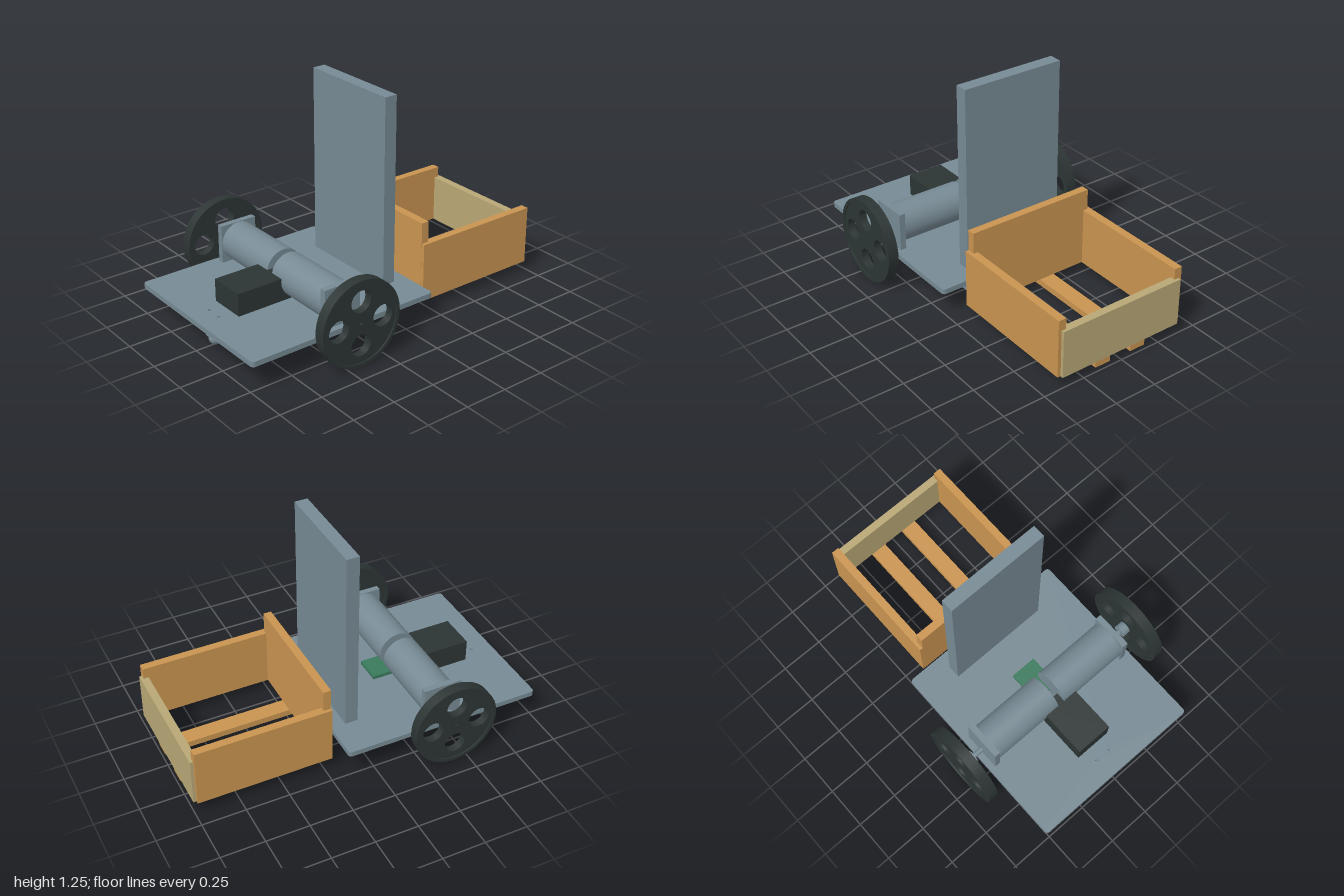
import * as THREE from 'three';

const mat = (name, color, flatShading = false) => {
  const m = new THREE.MeshStandardMaterial({ color, flatShading });
  m.name = name;
  return m;
};

export function createModel() {
  const root = new THREE.Group();
  root.name = 'wheeledPlatformAndCrate';
  const steel = mat('blueGreySteel', 0x778a94);
  const dark = mat('darkRubber', 0x2c3534);
  const green = mat('circuitGreen', 0x3a7a5c);
  const wood = mat('orangeWood', 0xc99450);
  const tan = mat('paleWood', 0xb9a776);

  const add = (name, geo, m) => {
    const mesh = new THREE.Mesh(geo, m);
    mesh.name = name;
    root.add(mesh);
    return mesh;
  };
  // Box given by its limits on each axis
  const box = (name, m, x0, x1, y0, y1, z0, z1) => {
    const b = add(name, new THREE.BoxGeometry(x1 - x0, y1 - y0, z1 - z0), m);
    b.position.set((x0 + x1) / 2, (y0 + y1) / 2, (z0 + z1) / 2);
    return b;
  };
  // Cylinder lying along z between two limits
  const rodZ = (name, m, x, y, r, z0, z1) => {
    const c = add(name, new THREE.CylinderGeometry(r, r, Math.abs(z1 - z0), 40).rotateX(Math.PI / 2), m);
    c.position.set(x, y, (z0 + z1) / 2);
    return c;
  };
  const hole = (shape, x, y, r) => {
    const p = new THREE.Path();
    p.absarc(x, y, r, 0, Math.PI * 2, true);
    shape.holes.push(p);
  };

  // Base plate with rounded corners and two bolt holes
  const [w, d, r] = [0.58, 0.525, 0.02];
  const plate = new THREE.Shape();
  plate.absarc(w - r, d - r, r, 0, Math.PI / 2);
  plate.absarc(-w + r, d - r, r, Math.PI / 2, Math.PI);
  plate.absarc(-w + r, -d + r, r, Math.PI, Math.PI * 1.5);
  plate.absarc(w - r, -d + r, r, Math.PI * 1.5, Math.PI * 2);
  for (const s of [-1, 1]) hole(plate, -0.46, s * 0.045, 0.009);
  const plateGeo = new THREE.ExtrudeGeometry(plate, { depth: 0.03, bevelEnabled: false, curveSegments: 10 });
  add('basePlate', plateGeo.rotateX(-Math.PI / 2), steel).position.set(-0.42, 0.15, 0);

  // Upright panel, battery and circuit board
  box('uprightPanel', steel, 0, 0.075, 0.035, 1.255, -0.305, 0.305);
  box('battery', dark, -0.8, -0.47, 0.18, 0.31, -0.11, 0.108);
  box('circuitBoard', green, -0.41, -0.215, 0.22, 0.24, -0.08, 0.075);

  // Ball casters
  for (const x of [-0.88, 0.035]) {
    box('casterMount', steel, x - 0.075, x + 0.075, 0.11, 0.15, -0.065, 0.065);
    box('casterSpacer', dark, x - 0.063, x + 0.063, 0.088, 0.11, -0.055, 0.055);
    const cup = add('casterCup', new THREE.CylinderGeometry(0.052, 0.052, 0.024, 32), steel);
    cup.position.set(x, 0.077, 0);
    add('casterBall', new THREE.SphereGeometry(0.037, 28, 18), steel).position.set(x, 0.037, 0);
  }

  // Spoked wheel disc: round web with four large holes and an axle hole
  const web = new THREE.Shape();
  web.absarc(0, 0, 0.228, 0, Math.PI * 2);
  for (let i = 0; i < 4; i++) {
    const a = (i * Math.PI) / 2;
    hole(web, 0.14 * Math.cos(a), 0.125 * Math.sin(a), 0.062);
  }
  hole(web, 0, 0, 0.007);
  const webGeo = new THREE.ExtrudeGeometry(web, { depth: 0.046, bevelEnabled: false, curveSegments: 32 });
  webGeo.translate(0, 0, -0.023);
  // Square-section tyre; each edge has its own points so it stays sharp
  const section = [[0.225, -0.031], [0.245, -0.031], [0.245, 0.031], [0.225, 0.031], [0.225, -0.031]];
  const tyreSides = section.slice(1).map((p, i) => new THREE.LatheGeometry(
    [section[i], p].map(([a, b]) => new THREE.Vector2(a, b)), 64).rotateX(Math.PI / 2));

  // Motors, brackets, axles and wheels on both sides
  for (const s of [-1, 1]) {
    rodZ('motor', steel, -0.42, 0.29, 0.11, s * 0.022, s * 0.46);
    const [z0, z1] = s > 0 ? [0.455, 0.49] : [-0.49, -0.455];
    box('motorBracket', steel, -0.532, -0.308, 0.18, 0.402, z0, z1);
    rodZ('axle', steel, -0.42, 0.245, 0.015, s * 0.48, s * 0.56);
    rodZ('wheelHub', steel, -0.42, 0.245, 0.037, s * 0.55, s * 0.597);
    const wheel = new THREE.Group();
    wheel.name = s > 0 ? 'frontWheel' : 'backWheel';
    wheel.position.set(-0.42, 0.245, s * 0.619);
    const disc = new THREE.Mesh(webGeo, dark);
    disc.name = 'wheelDisc';
    wheel.add(disc);
    for (const g of tyreSides) {
      const t = new THREE.Mesh(g, dark);
      t.name = 'tyreSurface';
      wheel.add(t);
    }
    root.add(wheel);
  }

  // Open crate on two runners
  for (const s of [-1, 1]) {
    const span = (a, b) => (s > 0 ? [a, b] : [-b, -a]);
    box('crateSide', wood, 0.2, 0.98, 0.06, 0.4, ...span(0.358, 0.404));
    box('crateRunner', wood, 0.17, 0.988, 0.016, 0.052, ...span(0.068, 0.164));
  }
  box('crateTallEnd', wood, 0.199, 0.245, 0.061, 0.522, -0.385, 0.385);
  box('crateLowEnd', tan, 0.952, 0.997, 0.059, 0.337, -0.385, 0.385);

  return root;
}
